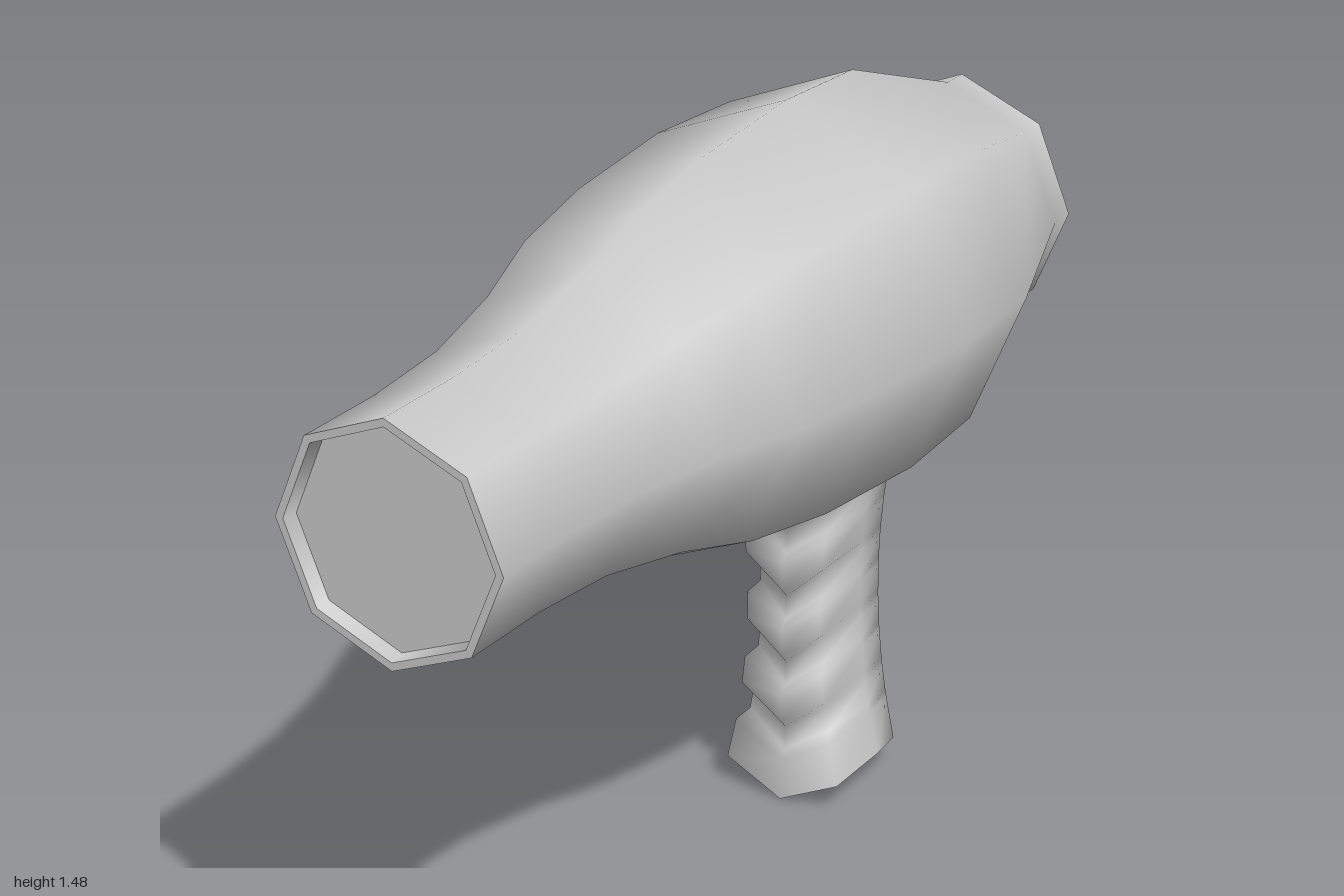
import * as THREE from 'three';

const AXIS_Y = 1.078; // height of the barrel axis

export function createModel() {
  const group = new THREE.Group();
  const material = new THREE.MeshStandardMaterial({ color: 0xcccccc });

  const add = (name, geometry) => {
    const mesh = new THREE.Mesh(geometry, material);
    mesh.name = name;
    group.add(mesh);
  };

  // Eight-sided turned part along z; profile is [radius, z], back to front
  const turned = (name, profile) => {
    const geometry = new THREE.LatheGeometry(profile.map(([r, z]) => new THREE.Vector2(r, z)), 8);
    geometry.rotateX(Math.PI / 2).translate(0, AXIS_Y, 0);
    add(name, geometry);
  };

  // Barrel with its nozzle, lips and end caps
  turned('barrel', [
    [0.25, -1], [0.25, -0.94], [0.388, -0.55], [0.4, -0.3], [0.378, 0], [0.341, 0.22],
    [0.285, 0.4], [0.245, 0.6], [0.232, 0.8], [0.232, 1],
  ]);
  turned('nozzleLip', [[0.232, 1], [0.216, 1]]);
  turned('nozzleInner', [[0.216, 1], [0.21, 0.97]]);
  turned('nozzleCap', [[0.21, 0.97], [0, 0.97]]);
  turned('rearLip', [[0.232, -1], [0.25, -1]]);
  turned('rearInner', [[0.228, -0.99], [0.232, -1]]);
  turned('rearCap', [[0, -0.99], [0.228, -0.99]]);

  // Handle rows: [height at the corners, 1 inside a finger groove]
  const rows = [[0.06, 0]];
  for (let i = 0; i < 4; i++) {
    const y = 0.195 + i * 0.145;
    rows.push([y - 0.045, 0], [y - 0.03, 1], [y + 0.02, 1], [y + 0.04, 0]);
  }
  rows.push([0.73, 0], [0.79, 0]);

  // One V-shaped ring of the handle, running front, left side, back, right side
  const ring = ([y, groove], flare) => {
    const w = 0.082 + 0.04 * ((y - 0.42) / 0.34) ** 2;
    const half = [
      [w - 0.012 * groove, y, -0.306 - 0.03 * groove],
      [w + flare, y, -0.47],
      [w * 0.95, y, -0.55],
    ];
    const mirrored = half.map(([x, py, z]) => [-x, py, z]).reverse();
    return [[0, y - 0.06, -0.3 - 0.018 * groove], ...half, [0, y - 0.045, -0.55], ...mirrored];
  };
  const rings = rows.map((row, i) => ring(row, i === rows.length - 1 ? 0.08 : 0));
  const sides = rings[0].length;
  const index = [];
  for (let i = 0; i < rings.length - 1; i++) {
    for (let j = 0; j < sides; j++) {
      const a = i * sides + j;
      const b = i * sides + (j + 1) % sides;
      index.push(a, b, b + sides, a, b + sides, a + sides);
    }
  }
  const grip = new THREE.BufferGeometry();
  grip.setAttribute('position', new THREE.Float32BufferAttribute(rings.flat(2), 3));
  grip.setIndex(index);
  grip.computeVertexNormals();
  add('handle', grip);

  // Keeled sole closing the handle
  const sole = [];
  for (let j = 0; j < sides; j++) {
    sole.push(0, 0.008, -0.43, ...rings[0][(j + 1) % sides], ...rings[0][j]);
  }
  const base = new THREE.BufferGeometry();
  base.setAttribute('position', new THREE.Float32BufferAttribute(sole, 3));
  base.computeVertexNormals();
  add('handleSole', base);

  return group;
}
